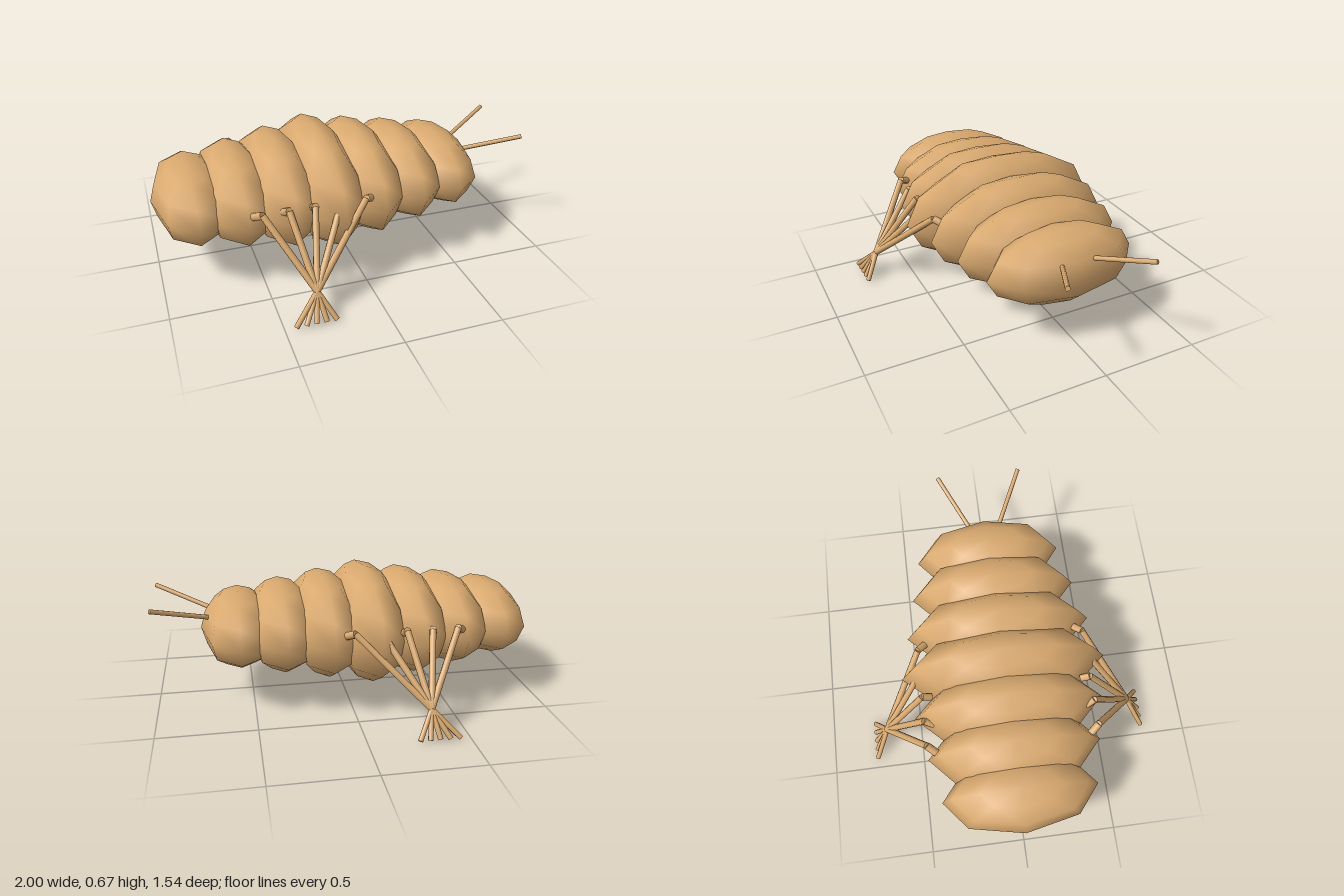
import * as THREE from 'three';

export function createModel() {
  const model = new THREE.Group();
  const tan = new THREE.MeshStandardMaterial({ color: 0xd9a96f });
  tan.name = 'tan';

  // straight round rod between two points
  function rod(name, from, to, radius, parent) {
    const a = new THREE.Vector3(...from);
    const b = new THREE.Vector3(...to);
    const dir = b.clone().sub(a);
    const mesh = new THREE.Mesh(new THREE.CylinderGeometry(radius, radius, dir.length(), 8), tan);
    mesh.name = name;
    mesh.position.copy(a).add(b).multiplyScalar(0.5);
    mesh.quaternion.setFromUnitVectors(new THREE.Vector3(0, 1, 0), dir.normalize());
    parent.add(mesh);
  }

  // seven overlapping body segments, largest in the middle
  const body = new THREE.Group();
  body.name = 'body';
  const segmentGeometry = new THREE.SphereGeometry(1, 8, 6);
  for (let i = 0; i < 7; i++) {
    const step = 3 - Math.abs(i - 3);
    const segment = new THREE.Mesh(segmentGeometry, tan);
    segment.name = i === 6 ? 'headSegment' : 'bodySegment' + (i + 1);
    segment.position.set(-0.8 + i * 0.2267, 0.373, 0);
    segment.scale.set(0.2, 0.19 + step * 0.0367, 0.4 + step * 0.05);
    body.add(segment);
  }
  model.add(body);

  // five legs per side, crossing at one point and fanning out to the feet
  for (const side of [1, -1]) {
    const legs = new THREE.Group();
    legs.name = side > 0 ? 'frontLegs' : 'backLegs';
    const crossing = [-0.32, 0.135, side * 0.68];
    for (let i = 0; i < 5; i++) {
      const t = i - 2;
      const hip = [-0.25 + t * 0.15, 0.425, side * 0.4];
      const joint = [-0.253 + t * 0.13, 0.45, side * 0.445];
      const foot = [-0.347 - t * 0.05, 0.01, side * 0.76];
      rod('hip', hip, joint, 0.02, legs);
      rod('upperLeg', joint, crossing, 0.017, legs);
      rod('lowerLeg', crossing, foot, 0.013, legs);
    }
    model.add(legs);

    // antenna
    rod('antenna', [0.7, 0.452, side * 0.08], [0.995, 0.552, side * 0.23], 0.012, model);
  }
  return model;
}
